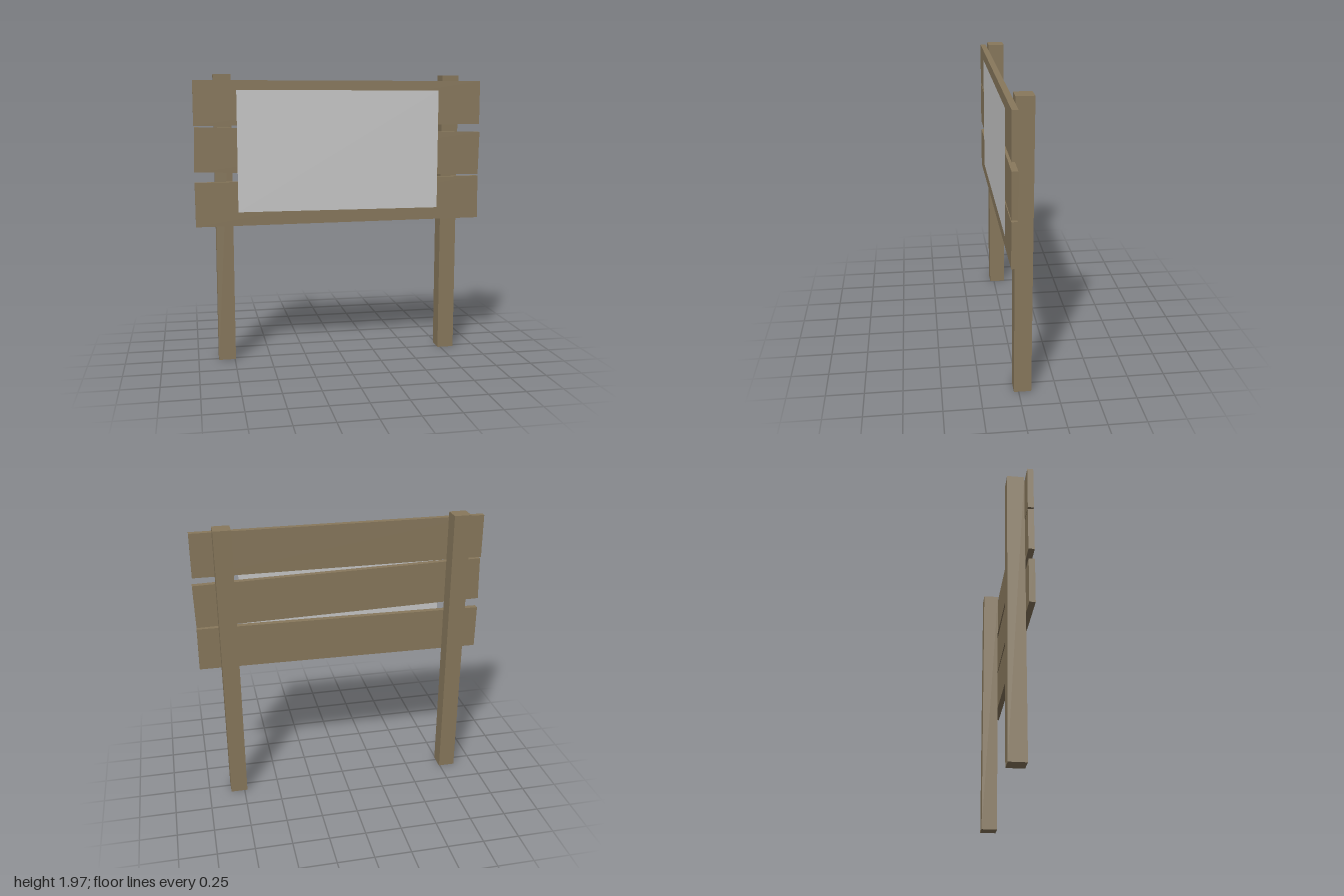
import * as THREE from 'three';

export function createModel() {
  const model = new THREE.Group();
  model.name = 'signboard';

  const wood = new THREE.MeshStandardMaterial({ color: 0x88785c });
  wood.name = 'weathered wood';
  const paper = new THREE.MeshStandardMaterial({ color: 0xc8c8c8, side: THREE.DoubleSide });
  paper.name = 'light grey';

  const add = (name, geometry, material, x, y, z, tilt = 0) => {
    const mesh = new THREE.Mesh(geometry, material);
    mesh.name = name;
    mesh.position.set(x, y, z);
    mesh.rotation.z = tilt;
    model.add(mesh);
  };

  // Two square posts behind the boards
  const post = new THREE.BoxGeometry(0.116, 1.97, 0.114);
  add('rightPost', post, wood, -0.802, 0.985, -0.026);
  add('leftPost', post, wood, 0.788, 0.985, -0.026);

  // Three planks, the lower two nailed on slightly askew
  const plank = new THREE.BoxGeometry(1.99, 0.3, 0.039);
  add('topPlank', plank, wood, -0.002, 1.78, 0.0505);
  add('middlePlank', plank, wood, 0, 1.448, 0.0505, -0.0226);
  add('bottomPlank', plank, wood, -0.002, 1.107, 0.0505, 0.0075);

  // Blank sheet on the front
  add('sheet', new THREE.PlaneGeometry(1.4, 0.82), paper, -0.01, 1.455, 0.073);

  return model;
}
